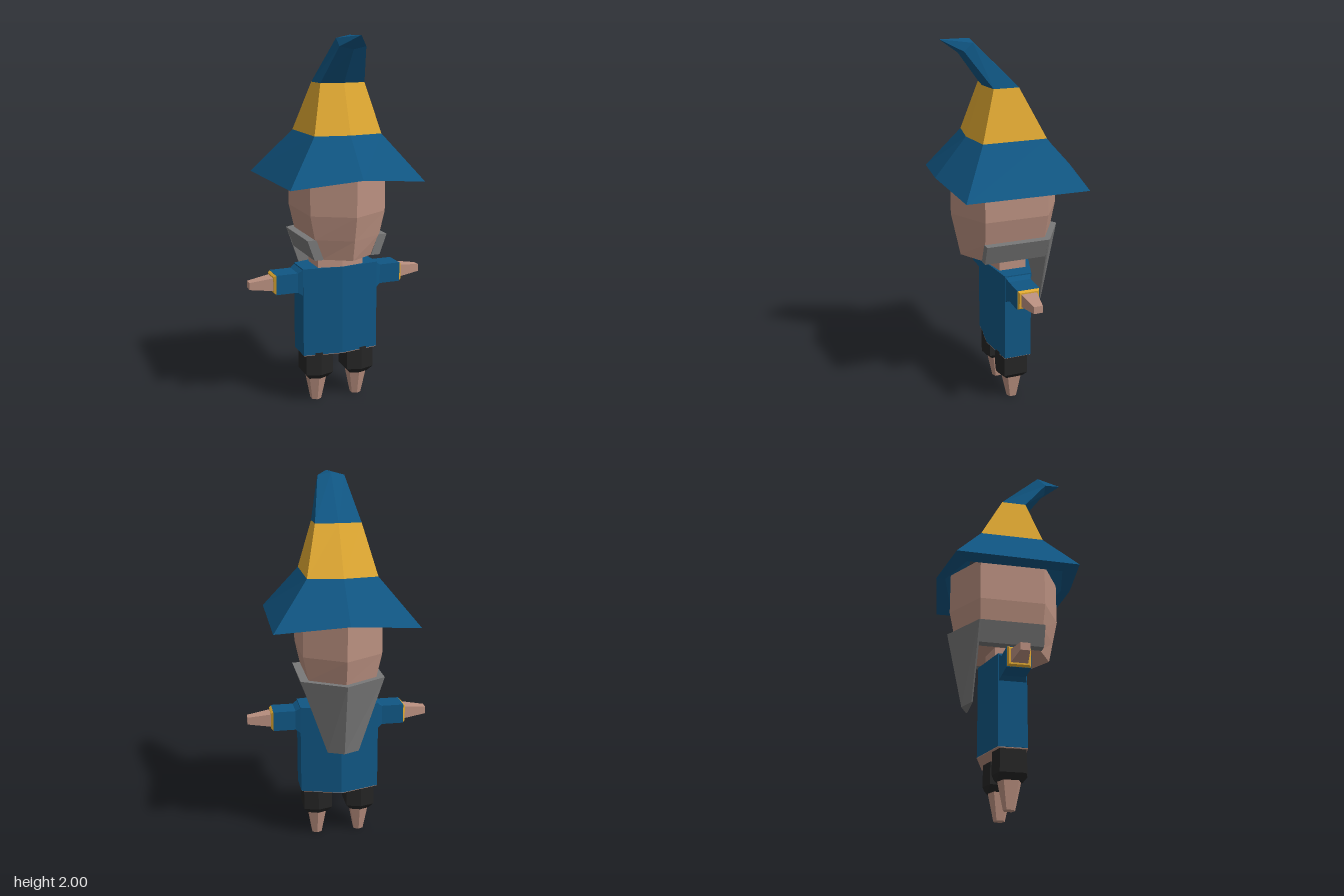
import * as THREE from 'three';

const material = (name, color) => {
  const m = new THREE.MeshStandardMaterial({ color });
  m.name = name;
  return m;
};

// Joins matching rings of points with flat faces; rings run counterclockwise seen from the end.
function loft(rings, capStart = true, capEnd = true) {
  const pos = [];
  const tri = (a, b, c) => pos.push(...a, ...b, ...c);
  const n = rings[0].length;
  for (let r = 0; r < rings.length - 1; r++) {
    for (let i = 0; i < n; i++) {
      const j = (i + 1) % n;
      tri(rings[r][i], rings[r][j], rings[r + 1][j]);
      tri(rings[r][i], rings[r + 1][j], rings[r + 1][i]);
    }
  }
  const first = rings[0], last = rings[rings.length - 1];
  for (let i = 1; i < n - 1; i++) {
    if (capStart) tri(first[0], first[i + 1], first[i]);
    if (capEnd) tri(last[0], last[i], last[i + 1]);
  }
  const g = new THREE.BufferGeometry();
  g.setAttribute('position', new THREE.Float32BufferAttribute(pos, 3));
  g.computeVertexNormals();
  return g;
}

// Six-point level ring: z of front centre, front corners, back corners, back centre.
function hex(y, w, [fc, f, b, bc], { cx = 0, wf = w, yf = y, yb = y, ycf = yf, ycb = yb } = {}) {
  return [
    [cx, ycf, fc], [cx + wf, yf, f], [cx + w, yb, b],
    [cx, ycb, bc], [cx - w, yb, b], [cx - wf, yf, f],
  ];
}

// Four-point ring across the arm at a given x.
const armRing = (x, y0, y1, z) => [[x, y0, z], [x, y0, -z], [x, y1, -z], [x, y1, z]];

export function createModel() {
  const model = new THREE.Group();
  const blue = material('blue cloth', 0x105683);
  blue.side = THREE.DoubleSide;
  const gold = material('gold band', 0xdfa832);
  const skin = material('skin', 0xba9080);
  const grey = material('grey hair', 0x787878);
  const black = material('black trousers', 0x252525);

  const add = (name, geometry, mat, parent = model) => {
    const mesh = new THREE.Mesh(geometry, mat);
    mesh.name = name;
    parent.add(mesh);
    return mesh;
  };

  // Hat: wide drooping brim, gold band and a crooked tip
  const brim = hex(1.26, 0.378, [0.38, 0.33, -0.325, -0.38], { wf: 0.367, ycf: 1.295, ycb: 1.295 });
  const brimInner = hex(1.26, 0.28, [0.33, 0.26, -0.255, -0.33], { ycf: 1.295, ycb: 1.295 });
  const bandLow = hex(1.5, 0.185, [0.21, 0.18, -0.165, -0.195]);
  const bandHigh = hex(1.76, 0.122, [0.12, 0.1, -0.035, -0.045]);
  const bend = hex(1.985, 0.072, [0.245, 0.235, 0.188, 0.185], { yf: 1.945, ycf: 1.93, ycb: 2 });
  const point = Array.from({ length: 6 }, () => [0, 2, 0.34]);
  add('hatBrim', loft([brim, bandLow], false, false), blue);
  add('hatUnderside', loft([brimInner, brim], false, false), blue);
  add('hatBand', loft([bandLow, bandHigh], false, false), gold);
  add('hatTip', loft([bandHigh, bend, point], false, false), blue);

  // Head and neck
  add('head', loft([
    hex(0.85, 0.14, [0.25, 0.165, -0.155, -0.25]),
    hex(0.96, 0.182, [0.273, 0.172, -0.163, -0.273]),
    hex(1.09, 0.21, [0.3, 0.18, -0.17, -0.3]),
    hex(1.32, 0.21, [0.3, 0.18, -0.17, -0.3]),
  ]), skin);
  add('neck', loft([
    hex(0.77, 0.13, [0.1, 0.075, -0.075, -0.1]),
    hex(0.86, 0.13, [0.1, 0.075, -0.075, -0.1]),
  ]), skin);

  // Beard with a strap of whiskers along each cheek
  add('beard', loft([
    hex(0.555, 0.085, [-0.18, -0.18, -0.186, -0.225]),
    hex(0.96, 0.225, [-0.165, -0.165, -0.175, -0.31]),
  ]), grey);
  for (const side of [1, -1]) {
    const strap = (z) => {
      const ring = [[0.135, 0.85], [0.185, 0.85], [0.225, 0.96], [0.175, 0.96]]
        .map(([x, y]) => [side * x, y, z]);
      return side > 0 ? ring : ring.reverse();
    };
    add(side > 0 ? 'leftWhiskers' : 'rightWhiskers', loft([strap(-0.17), strap(0.175)]), grey);
  }

  // Tunic, with a bare opening underneath
  const hem = [0.105, 0.075, -0.075, -0.14];
  add('tunic', loft([hex(0.29, 0.215, hem), hex(0.78, 0.215, hem)]), blue);
  add('tunicOpening', loft([hex(0.287, 0.212, hem), hex(0.291, 0.212, hem)]), skin);

  // Arms: sleeve, gold cuff and tapered hand
  for (const side of ['left', 'right']) {
    const arm = new THREE.Group();
    arm.name = side + 'Arm';
    add('sleeve', loft([
      armRing(0.205, 0.625, 0.78, 0.075),
      armRing(0.24, 0.65, 0.757, 0.062),
      armRing(0.36, 0.65, 0.757, 0.062),
    ]), blue, arm);
    add('cuff', loft([
      armRing(0.358, 0.65, 0.757, 0.062),
      armRing(0.372, 0.66, 0.747, 0.052),
    ]), gold, arm);
    add('hand', loft([
      armRing(0.365, 0.668, 0.74, 0.044),
      armRing(0.497, 0.683, 0.722, 0.024),
    ]), skin, arm);
    if (side === 'right') arm.rotation.y = Math.PI;
    model.add(arm);
  }

  // Legs: trouser leg with a chamfered hem and a tapered foot
  for (const side of [1, -1]) {
    const leg = new THREE.Group();
    leg.name = side > 0 ? 'leftLeg' : 'rightLeg';
    const cx = side * 0.12;
    add('trouserLeg', loft([
      hex(0.14, 0.053, [0.068, 0.05, -0.045, -0.064], { cx }),
      hex(0.17, 0.078, [0.093, 0.07, -0.062, -0.086], { cx }),
      hex(0.3, 0.078, [0.093, 0.07, -0.062, -0.086], { cx }),
    ]), black, leg);
    add('foot', loft([
      hex(0, 0.026, [0.03, 0.018, -0.018, -0.03], { cx }),
      hex(0.145, 0.05, [0.062, 0.04, -0.037, -0.06], { cx }),
    ]), skin, leg);
    model.add(leg);
  }

  return model;
}
